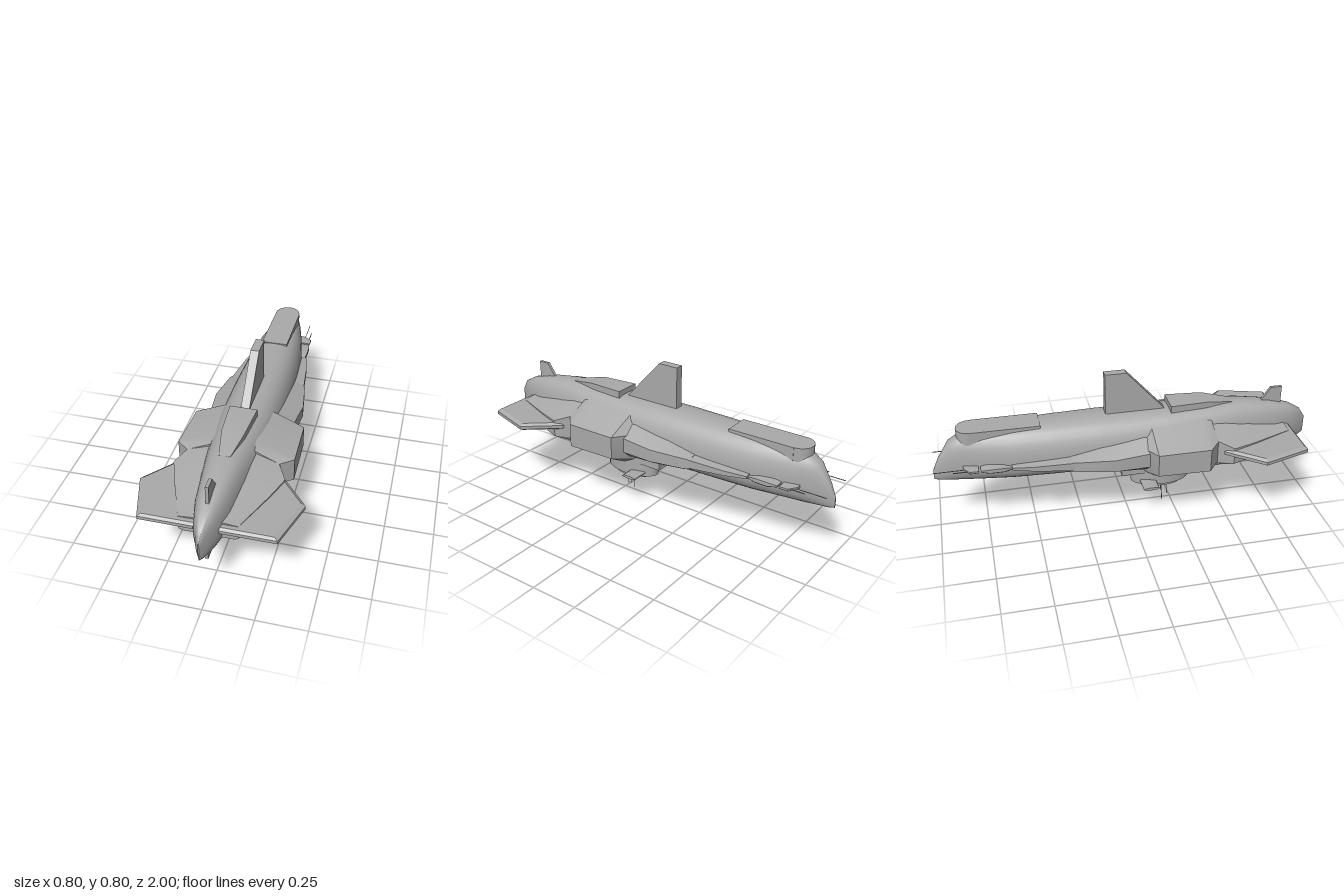
import * as THREE from 'three';
import { toCreasedNormals } from 'three/addons/utils/BufferGeometryUtils.js';

const hullGrey = new THREE.MeshStandardMaterial({ color: 0xaaaaaa });
hullGrey.name = 'hull grey';

// Turns faces outward by the sign of the enclosed volume.
function orient(geo) {
  const p = geo.attributes.position, ix = geo.index.array;
  const v = [0, 1, 2].map(() => new THREE.Vector3());
  let vol = 0;
  for (let i = 0; i < ix.length; i += 3) {
    v.forEach((q, k) => q.fromBufferAttribute(p, ix[i + k]));
    vol += v[0].dot(v[1].clone().cross(v[2]));
  }
  if (vol < 0) for (let i = 0; i < ix.length; i += 3) [ix[i], ix[i + 1]] = [ix[i + 1], ix[i]];
  return geo;
}

// Skins a row of equal-length rings and closes both ends.
function loft(rings, crease = 0.3) {
  const n = rings[0].length, pos = rings.flat(2), idx = [];
  for (let r = 0; r < rings.length - 1; r++) for (let i = 0; i < n; i++) {
    const a = r * n + i, b = r * n + (i + 1) % n;
    idx.push(a, b, a + n, b, b + n, a + n);
  }
  const e = (rings.length - 1) * n;
  for (let i = 1; i < n - 1; i++) idx.push(0, i + 1, i, e, e + i, e + i + 1);
  const g = new THREE.BufferGeometry();
  g.setAttribute('position', new THREE.Float32BufferAttribute(pos, 3));
  g.setIndex(idx);
  return toCreasedNormals(orient(g), crease);
}

export function createModel() {
  const ship = new THREE.Group();
  ship.name = 'spaceship';
  const add = (name, geo, x = 0, y = 0, z = 0) => {
    const m = new THREE.Mesh(geo, hullGrey);
    m.name = name;
    m.position.set(x, y, z);
    ship.add(m);
    return m;
  };
  const box = (name, x0, x1, y0, y1, z0, z1) =>
    add(name, new THREE.BoxGeometry(x1 - x0, y1 - y0, z1 - z0), (x0 + x1) / 2, (y0 + y1) / 2, (z0 + z1) / 2);

  // Main hull: z, half width, bottom, widest height, top
  const stations = [
    [-1, 0.004, 0.29, 0.32, 0.345], [-0.97, 0.022, 0.285, 0.35, 0.41], [-0.91, 0.052, 0.285, 0.38, 0.505],
    [-0.85, 0.075, 0.285, 0.39, 0.54], [-0.75, 0.1, 0.285, 0.39, 0.555], [-0.6, 0.13, 0.285, 0.39, 0.565],
    [-0.4, 0.147, 0.285, 0.39, 0.572], [-0.15, 0.155, 0.283, 0.39, 0.575], [0.2, 0.155, 0.28, 0.39, 0.575],
    [0.45, 0.132, 0.28, 0.39, 0.575], [0.6, 0.112, 0.285, 0.39, 0.572], [0.78, 0.087, 0.292, 0.39, 0.547],
    [0.9, 0.056, 0.298, 0.39, 0.512], [0.965, 0.025, 0.304, 0.39, 0.475], [1, 0.003, 0.325, 0.39, 0.42],
  ];
  add('hull', loft(stations.map(([z, w, b, m, t]) => Array.from({ length: 32 }, (_, i) => {
    const a = i / 32 * Math.PI * 2, c = Math.cos(a), s = Math.sin(a);
    return [w * Math.sign(c) * Math.abs(c) ** 0.7, m + (s > 0 ? t - m : m - b) * Math.sign(s) * Math.abs(s) ** 0.9, z];
  })), 0.7));

  // Side profile [z, y] extruded across x
  const blade = (name, pts, half) => {
    const g = new THREE.ExtrudeGeometry(new THREE.Shape(pts.map(([z, y]) => new THREE.Vector2(-z, y))),
      { depth: half * 2, bevelEnabled: false });
    g.translate(0, 0, -half).rotateY(Math.PI / 2);
    add(name, g);
  };
  blade('dorsalFin', [[0.2, 0.56], [0.2, 0.575], [0, 0.795], [-0.11, 0.795], [-0.11, 0.56]], 0.022);
  blade('upperFrontFin', [[0.85, 0.5], [0.85, 0.62], [0.79, 0.62], [0.74, 0.55], [0.74, 0.5]], 0.008);
  blade('lowerFrontFin', [[0.895, 0.31], [0.895, 0.23], [0.8, 0.23], [0.73, 0.275], [0.73, 0.31]], 0.008);

  // Raised fairing on the forward back
  add('dorsalFairing', loft([[0.225, 0.07, 0.603], [0.42, 0.057, 0.6], [0.57, 0.028, 0.572]].map(
    ([z, w, t]) => [[-w, 0.53, z], [w, 0.53, z], [w, t, z], [-w, t, z]])));

  // Rounded deck at the stern
  const deck = new THREE.Shape();
  deck.moveTo(-0.07, 0.45);
  deck.lineTo(0.07, 0.45);
  deck.lineTo(0.07, 0.8);
  deck.absarc(0, 0.8, 0.068, 0, Math.PI, false);
  deck.lineTo(-0.07, 0.45);
  add('sternDeck', toCreasedNormals(new THREE.ExtrudeGeometry(deck, { depth: 0.078, bevelEnabled: false, curveSegments: 10 })
    .rotateX(-Math.PI / 2), 0.5), 0, 0.495, 0);

  // Turret under the belly
  const drum = (name, rx, rz, y0, y1, z) =>
    add(name, new THREE.CylinderGeometry(1, 1, 1, 32).scale(rx, y1 - y0, rz), 0, (y0 + y1) / 2, z);
  drum('turretBody', 0.08, 0.158, 0.14, 0.3, 0.187);
  drum('turretFoot', 0.045, 0.1, 0.107, 0.145, 0.2);
  box('turretMount', -0.07, 0.07, 0.215, 0.3, -0.035, 0.15);
  add('turretBar', new THREE.CylinderGeometry(1, 1, 0.3, 10).scale(0.008, 1, 0.043).rotateZ(Math.PI / 2), 0, 0.163, 0.11);
  for (const [x, y, z] of [[-0.02, 0, 0.2], [-0.007, 0.027, 0.232], [0.007, 0.04, 0.2]]) {
    box('turretAntenna', x - 0.0015, x + 0.0015, y, 0.11, z - 0.0015, z + 0.0015);
    box('antennaBase', x - 0.005, x + 0.005, 0.098, 0.11, z - 0.005, z + 0.005);
  }

  // Pod section: z, inner x, outer x, inner top, outer top, outer bottom, belly x, inner bottom
  const pod = (name, side, rows) => add(name, loft(rows.map(([z, xi, xo, yt, o1, o2, xb, yb]) =>
    [[xi, yt], [xo, o1], [xo, o2], [xb, yb], [xi, yb]].map(([x, y]) => [x * side, y, z]))));

  // Hollow eight-sided nozzle profile [radius, z]
  const nozzle = [[0.001, 0.5], [0.022, 0.5], [0.034, 0.53], [0.034, 0.585], [0.026, 0.605], [0.036, 0.64],
    [0.036, 0.7], [0.028, 0.7], [0.02, 0.63], [0.001, 0.63]].map(([r, z]) => new THREE.Vector2(r, z));

  for (const s of [1, -1]) {
    pod('mainPod', s, [
      [0.065, 0.1, 0.19, 0.49, 0.44, 0.34, 0.16, 0.29],
      [0.11, 0.1, 0.285, 0.53, 0.45, 0.33, 0.18, 0.272],
      [0.38, 0.1, 0.293, 0.535, 0.455, 0.33, 0.18, 0.272],
      [0.435, 0.08, 0.23, 0.53, 0.46, 0.34, 0.16, 0.28]]);
    pod('middlePod', s, [
      [-0.31, 0.12, 0.2, 0.43, 0.415, 0.365, 0.18, 0.355],
      [-0.28, 0.12, 0.212, 0.435, 0.42, 0.365, 0.19, 0.352],
      [-0.1, 0.12, 0.24, 0.47, 0.425, 0.36, 0.2, 0.335],
      [0.1, 0.12, 0.22, 0.495, 0.43, 0.35, 0.19, 0.32]]);
    pod('slimPod', s, [
      [-0.61, 0.1, 0.158, 0.405, 0.4, 0.388, 0.15, 0.384],
      [-0.5, 0.1, 0.18, 0.415, 0.405, 0.38, 0.17, 0.375],
      [-0.3, 0.1, 0.203, 0.43, 0.415, 0.37, 0.18, 0.36],
      [-0.16, 0.1, 0.2, 0.43, 0.415, 0.37, 0.18, 0.36]]);
    pod('sternPod', s, [
      [-0.765, 0.07, 0.142, 0.396, 0.394, 0.388, 0.14, 0.386],
      [-0.72, 0.07, 0.15, 0.41, 0.4, 0.38, 0.14, 0.372],
      [-0.65, 0.07, 0.15, 0.41, 0.4, 0.38, 0.14, 0.372],
      [-0.6, 0.07, 0.142, 0.396, 0.394, 0.388, 0.14, 0.386]]);
    pod('sternBlock', s, [
      [-0.85, 0.05, 0.1, 0.398, 0.395, 0.385, 0.09, 0.382],
      [-0.82, 0.05, 0.143, 0.398, 0.395, 0.385, 0.14, 0.382],
      [-0.775, 0.05, 0.143, 0.398, 0.395, 0.385, 0.14, 0.382]]);
    // Shoulder blending the pod into the wing
    pod('wingShoulder', s, [
      [0.27, 0.05, 0.115, 0.54, 0.52, 0.33, 0.11, 0.28],
      [0.37, 0.05, 0.19, 0.535, 0.485, 0.335, 0.15, 0.28],
      [0.51, 0.05, 0.275, 0.515, 0.435, 0.345, 0.15, 0.285],
      [0.635, 0.05, 0.23, 0.485, 0.43, 0.345, 0.14, 0.3],
      [0.855, 0.04, 0.14, 0.435, 0.425, 0.35, 0.12, 0.342]]);

    // Wing plate, thin at the rim
    const wing = [[0.08, 0.4], [0.26, 0.47], [0.4, 0.64], [0.325, 0.888], [0.06, 0.888]];
    add('wing', loft([[0.95, 0.385], [1, 0.395], [1, 0.412], [0.95, 0.423]].map(([k, y]) =>
      wing.map(([x, z]) => [s * x * k, y, 0.65 + (z - 0.65) * k]))));

    // Engine nozzles
    for (const [x, y] of [[0.042, 0.267], [0.1, 0.287]]) {
      const g = new THREE.LatheGeometry(nozzle, 8, Math.PI / 8).rotateX(Math.PI / 2);
      add('engineNozzle', toCreasedNormals(orient(g), 0.3), s * x, y, 0);
    }

    // Stern antennas
    box('longAntenna', s * 0.103 - 0.0015, s * 0.103 + 0.0015, 0.386, 0.389, -1, -0.8);
    box('shortAntenna', s * 0.131 - 0.002, s * 0.131 + 0.002, 0.39, 0.394, -0.9, -0.8);

    // Belly sensor domes
    add('bellySensor', new THREE.SphereGeometry(s > 0 ? 0.016 : 0.022, 14, 10), s * 0.03, 0.281, s > 0 ? -0.265 : -0.305);
  }
  return ship;
}
